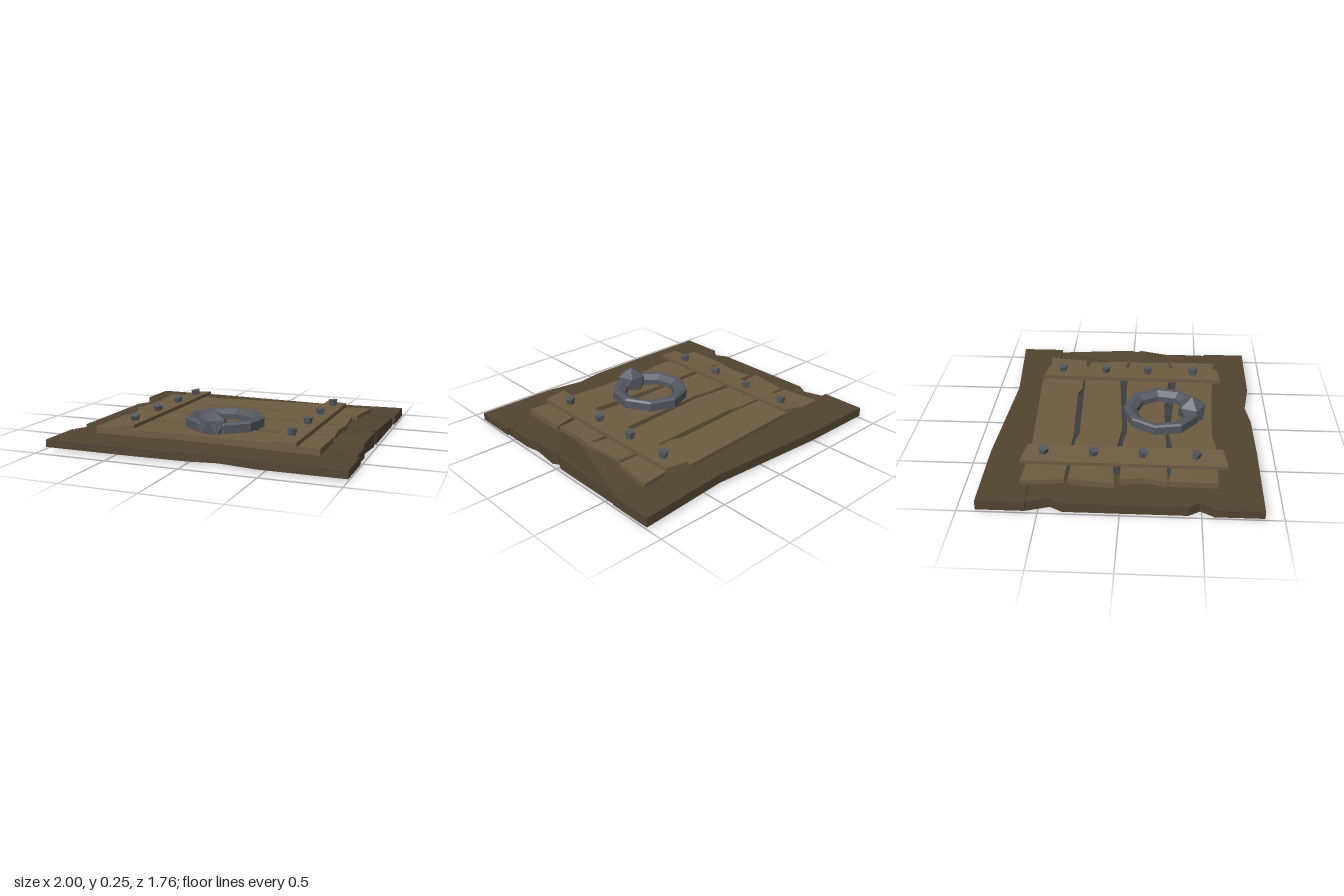
import * as THREE from 'three';

const paint = (color) => new THREE.MeshStandardMaterial({ color, flatShading: true, side: THREE.DoubleSide });

export function createModel() {
  const model = new THREE.Group();
  const darkWood = paint(0x524431), wood = paint(0x6d5c42), metal = paint(0x54585f), backing = paint(0x3b3d3e);

  function add(name, geometry, material, x = 0, y = 0, z = 0) {
    const mesh = new THREE.Mesh(geometry, material);
    mesh.name = name;
    mesh.position.set(x, y, z);
    model.add(mesh);
    return mesh;
  }

  // Rough-cut board, open underneath: outline in (x, z), top and bottom heights as numbers or rules
  function board(name, outline, material, bottom, top) {
    const pts = outline.map(([x, z]) => new THREE.Vector2(x, -z));
    if (THREE.ShapeUtils.isClockWise(pts)) pts.reverse();
    const at = (p, rule) => [p.x, typeof rule === 'function' ? rule(p.x, -p.y) : rule, -p.y];
    const pos = [];
    for (const face of THREE.ShapeUtils.triangulateShape(pts, []))
      for (const i of face) pos.push(...at(pts[i], top));
    pts.forEach((a, i) => {
      const b = pts[(i + 1) % pts.length];
      const a0 = at(a, bottom), b0 = at(b, bottom), a1 = at(a, top), b1 = at(b, top);
      pos.push(...a0, ...b0, ...b1, ...a0, ...b1, ...a1);
    });
    const geometry = new THREE.BufferGeometry();
    geometry.setAttribute('position', new THREE.Float32BufferAttribute(pos, 3));
    geometry.computeVertexNormals();
    return add(name, geometry, material);
  }

  // Outer frame
  board('frameBack', [[-1, -0.88], [-0.47, -0.88], [0.37, -0.83], [1, -0.88], [1, -0.575], [-1, -0.575]],
    darkWood, 0.015, 0.077);
  board('frameFront', [[-1, 0.57], [1, 0.57], [1, 0.88], [0.45, 0.88], [0.19, 0.84], [0, 0.87], [-0.38, 0.88], [-1, 0.88]],
    darkWood, 0.012, 0.062);
  board('frameRight', [[-0.665, -0.6], [-0.98, -0.6], [-0.98, -0.575], [-0.935, -0.43], [-0.98, -0.35], [-0.98, 0.42],
    [-0.935, 0.49], [-0.98, 0.57], [-0.665, 0.58]], darkWood, 0, 0.066);
  // The left side rises to a ridge at mid length
  const ridge = (x, z) => 0.063 + 0.034 * Math.max(0, 1 - Math.abs(z - 0.04) / (z > 0.04 ? 0.34 : 0.6));
  board('frameLeft', [[0.67, -0.6], [0.98, -0.6], [0.98, -0.02], [0.955, 0.03], [0.98, 0.07], [0.96, 0.27],
    [0.98, 0.36], [0.98, 0.58], [0.67, 0.58], [0.67, 0.36], [0.67, 0.04]], darkWood, 0, ridge);

  // Dark sheet behind the gaps
  add('backing', new THREE.PlaneGeometry(1.64, 1.2).rotateX(-Math.PI / 2), backing, 0, 0.026, 0);

  // Door planks
  const planks = [
    [[-0.82, -0.63], [-0.47, -0.61], [0.43, -0.66], [0.63, -0.62], [0.81, -0.64], [0.77, -0.355],
      [0.33, -0.35], [0.26, -0.375], [-0.25, -0.35], [-0.79, -0.355]],
    [[-0.785, -0.33], [-0.35, -0.33], [-0.27, -0.31], [0.45, -0.34], [0.74, -0.325], [0.77, -0.02],
      [0.62, -0.06], [0.47, -0.075], [-0.2, -0.025], [-0.6, -0.065], [-0.82, -0.04]],
    [[-0.78, -0.01], [-0.35, -0.01], [-0.25, 0.01], [0.3, -0.02], [0.77, -0.02], [0.75, 0.1], [0.77, 0.285],
      [0.6, 0.3], [0.1, 0.26], [-0.47, 0.28], [-0.79, 0.29], [-0.755, 0.14]],
    [[-0.785, 0.295], [-0.6, 0.32], [-0.35, 0.315], [-0.25, 0.295], [0.2, 0.33], [0.47, 0.345], [0.62, 0.34],
      [0.77, 0.3], [0.77, 0.635], [0.2, 0.6], [-0.27, 0.585], [-0.35, 0.605], [-0.785, 0.605]],
  ];
  planks.forEach((outline, i) => board('plank' + (i + 1), outline, wood, i ? 0.063 : 0.077, 0.106));

  // Cross straps, the right one lying tilted
  const tilt = (x) => 0.107 + (x + 0.645) * 0.12;
  board('strapRight', [[-0.64, -0.66], [-0.475, -0.625], [-0.48, 0.645], [-0.645, 0.675]],
    wood, tilt, (x) => tilt(x) + 0.024);
  board('strapLeft', [[0.47, -0.66], [0.625, -0.625], [0.625, 0.65], [0.455, 0.675]], wood, 0.105, 0.135);

  // Studs, each driven in at its own slight angle
  const stud = new THREE.CylinderGeometry(0.035, 0.024, 0.055, 5);
  [-0.515, -0.19, 0.13, 0.47].forEach((z, i) => {
    add('studRight', stud, metal, -0.555 - i * 0.003, 0.152, z).rotation.set(0.1, i * 0.8, 0.12);
    add('studLeft', stud, metal, 0.55 - i * 0.003, 0.152, z).rotation.set(-0.08, i * 0.8 + 0.4, 0.12);
  });

  // Pull ring and its knob
  const profile = [[0.18, 0.1], [0.268, 0.1], [0.27, 0.163], [0.257, 0.175], [0.225, 0.175], [0.18, 0.145], [0.18, 0.1]]
    .map(([r, y]) => new THREE.Vector2(r, y));
  add('pullRing', new THREE.LatheGeometry(profile, 9, Math.PI), metal, 0, 0, 0.245);
  const knob = new THREE.IcosahedronGeometry(0.108).rotateZ(-Math.atan(2 / (1 + Math.sqrt(5)))).rotateY(-Math.PI / 2);
  add('ringKnob', knob, metal, 0, 0.146, 0.452);

  return model;
}
